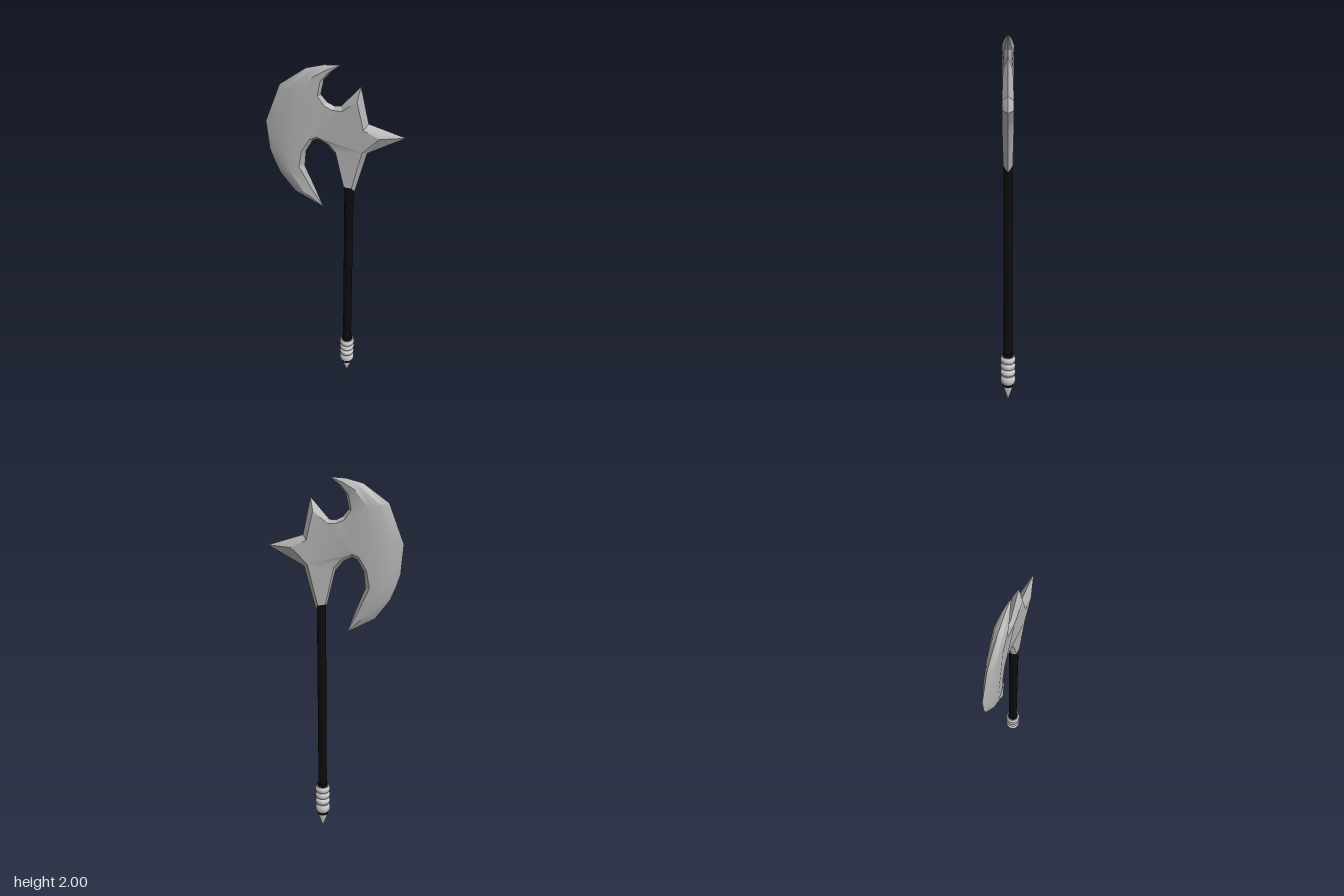
import * as THREE from 'three';
import { toCreasedNormals } from 'three/addons/utils/BufferGeometryUtils.js';

const AXIS = 0.071; // x of the shaft

// Mirrors front-facing triangles to the back and makes one creased geometry.
function mirrored(tris) {
  const pos = [];
  for (const [a, b, c] of tris) {
    pos.push(...a, ...b, ...c);
    for (const p of [a, c, b]) pos.push(p[0], p[1], -p[2]);
  }
  const g = new THREE.BufferGeometry();
  g.setAttribute('position', new THREE.Float32BufferAttribute(pos, 3));
  return toCreasedNormals(g, 0.4);
}

// Joins two rows of points with quads, skipping collapsed triangles.
function strip(tris, a, b) {
  const same = (p, q) => p.every((v, i) => v === q[i]);
  const add = (p, q, r) => {
    if (!same(p, q) && !same(q, r) && !same(p, r)) tris.push([p, q, r]);
  };
  for (let i = 0; i < a.length - 1; i++) {
    add(a[i], a[i + 1], b[i + 1]);
    add(a[i], b[i + 1], b[i]);
  }
}

export function createModel() {
  const group = new THREE.Group();
  const steel = new THREE.MeshStandardMaterial({ name: 'steel', color: 0xb2b2b2 });
  const black = new THREE.MeshStandardMaterial({ name: 'black shaft', color: 0x0c0c0c });
  const silver = new THREE.MeshStandardMaterial({ name: 'silver fittings', color: 0xc8c8c8 });

  const add = (name, geometry, material, y = 0) => {
    const m = new THREE.Mesh(geometry, material);
    m.name = name;
    m.position.set(material === steel ? 0 : AXIS, y, 0);
    group.add(m);
  };

  // Crescent blade, from top tip to bottom tip: cutting edge, inner face, inner rim
  const top = [0.026, 2.0, 0], bottom = [-0.063, 1.2, 0];
  const neckTop = [-0.05, 1.795, 0.02], neckTopRim = [-0.04, 1.808, 0];
  const neckLow = [-0.125, 1.608, 0.025], neckLowRim = [-0.115, 1.59, 0];
  const stations = [
    [[-0.055, 1.995, 0], [-0.03, 1.962, 0.012], [-0.018, 1.965, 0]],
    [[-0.14, 1.972, 0], [-0.068, 1.92, 0.02], [-0.055, 1.92, 0]],
    [[-0.27, 1.878, 0], [-0.083, 1.845, 0.022], [-0.07, 1.845, 0]],
    [[-0.348, 1.675, 0], neckTop, neckTopRim],
    [[-0.336, 1.52, 0], neckLow, neckLowRim],
    [[-0.315, 1.455, 0], [-0.165, 1.54, 0.03], [-0.148, 1.53, 0]],
    [[-0.287, 1.385, 0], [-0.18, 1.45, 0.031], [-0.157, 1.44, 0]],
    [[-0.21, 1.28, 0], [-0.125, 1.325, 0.018], [-0.11, 1.325, 0]],
  ];
  const column = (f) => [top, ...stations.map(f), bottom];
  const between = (t, z) => ([e, n]) => [
    e[0] + (n[0] - e[0]) * t, e[1] + (n[1] - e[1]) * t, z * Math.min(1, n[2] / 0.02),
  ];
  const edge = column((s) => s[0]);
  const bevel = column(between(0.22, 0.02));
  const ridge = column(between(0.55, 0.032));
  const inner = column((s) => s[1]);
  const rim = column((s) => s[2]);
  const blade = [];
  strip(blade, edge, bevel);
  strip(blade, bevel, ridge);
  strip(blade, ridge, inner);
  // The rim stays open where the neck joins the body
  strip(blade, inner.slice(0, 5), rim.slice(0, 5));
  strip(blade, inner.slice(5), rim.slice(5));
  add('crescentBlade', mirrored(blade), steel);

  // Neck, socket and spikes: raised face outline and sharp outer rim
  const outline = [
    [neckLow, neckLowRim],
    [[-0.09, 1.622, 0.02], [-0.088, 1.602, 0]],
    [[-0.04, 1.6, 0.018], [-0.045, 1.582, 0]],
    [[0.004, 1.55, 0.02], [-0.002, 1.53, 0]],
    [[0.048, 1.352, 0.025], [0.042, 1.345, 0]],
    [[0.088, 1.35, 0.025], [0.1, 1.318, 0]],
    [[0.138, 1.565, 0.03], [0.16, 1.55, 0]],
    [[0.22, 1.65, 0.03], [0.345, 1.655, 0]],
    [[0.142, 1.69, 0.03], [0.163, 1.712, 0]],
    [[0.108, 1.835, 0.025], [0.122, 1.902, 0]],
    [[0.035, 1.775, 0.02], [0.028, 1.793, 0]],
    [[-0.01, 1.775, 0.018], [-0.005, 1.79, 0]],
    [neckTop, neckTopRim],
  ];
  const face = outline.map((p) => p[0]);
  const body = THREE.ShapeUtils.triangulateShape(
    face.map((p) => new THREE.Vector2(p[0], p[1])), [],
  ).map((t) => t.map((i) => face[i]));
  strip(body, outline.map((p) => p[1]), face);
  add('spikedHead', mirrored(body), steel);

  // Shaft and its collars
  add('shaft', new THREE.CylinderGeometry(0.024, 0.024, 1.28, 12), black, 0.72);
  add('upperCollar', new THREE.CylinderGeometry(0.029, 0.029, 0.02, 16), black, 0.278);
  add('lowerCollar', new THREE.CylinderGeometry(0.029, 0.029, 0.02, 16), black, 0.095);

  // Rounded grip rings
  for (const [y, h] of [[0.25, 0.036], [0.212, 0.036], [0.173, 0.034], [0.127, 0.048]]) {
    const r = h / 2;
    const profile = [[0.02, -r], [0.034, -r], [0.04, -r * 0.65], [0.042, 0],
      [0.04, r * 0.65], [0.034, r], [0.02, r]].map(([x, v]) => new THREE.Vector2(x, v));
    add('gripRing', toCreasedNormals(new THREE.LatheGeometry(profile, 24), 0.8), silver, y);
  }

  // Pointed pommel
  const pommel = [[0, 0], [0.026, 0.078], [0.024, 0.088], [0, 0.088]]
    .map(([x, y]) => new THREE.Vector2(x, y));
  add('pommelSpike', toCreasedNormals(new THREE.LatheGeometry(pommel, 16), 0.6), silver);

  return group;
}
